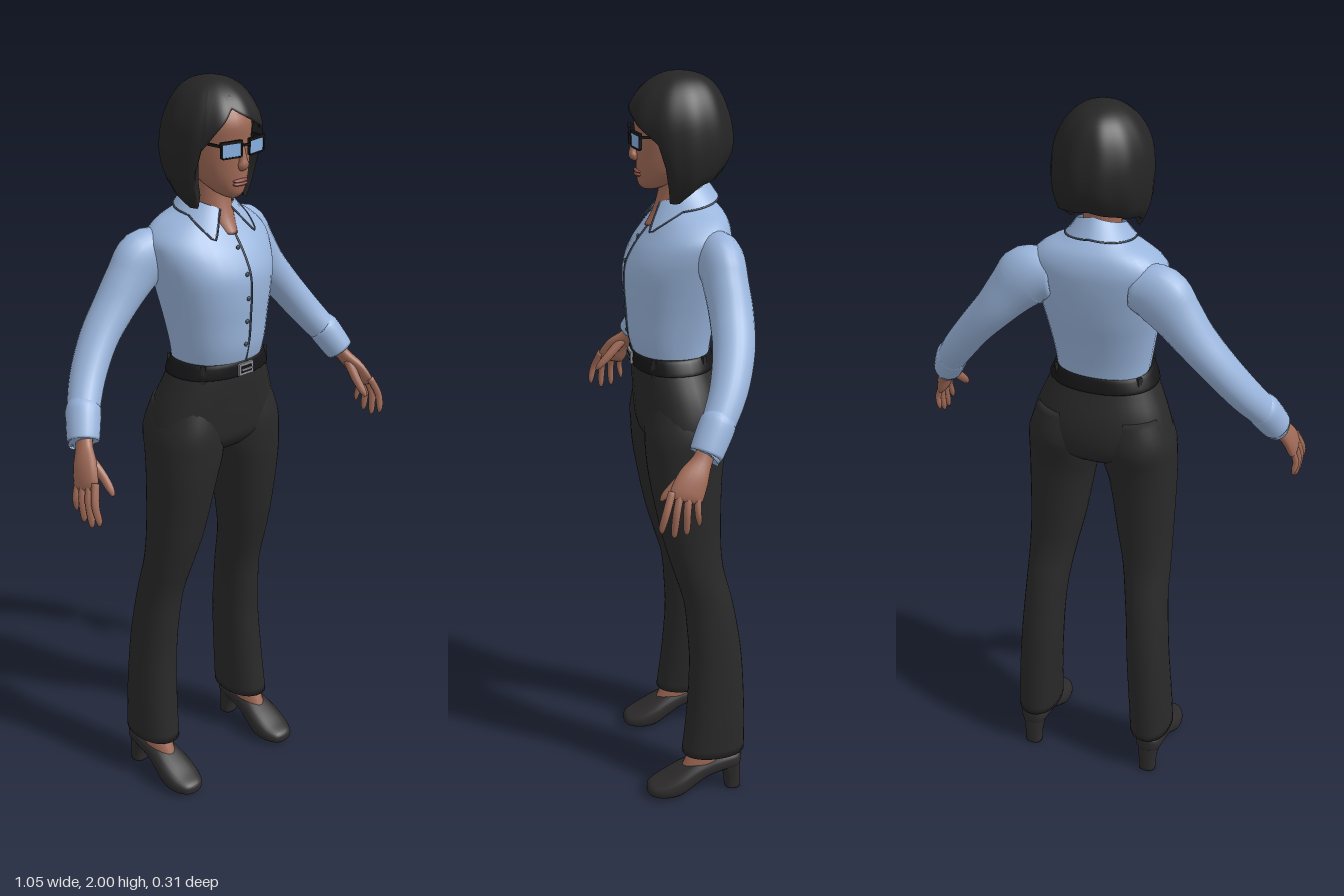
import * as THREE from 'three';
import { mergeVertices } from 'three/addons/utils/BufferGeometryUtils.js';

const mat = (name, color, side = THREE.FrontSide) => {
  const m = new THREE.MeshStandardMaterial({ color, side });
  m.name = name;
  return m;
};

// Catmull-Rom resampling of rows of numbers
function smooth(rows, k = 4) {
  const out = [], last = rows.length - 1;
  const get = i => rows[Math.min(last, Math.max(0, i))];
  for (let i = 0; i < last; i++) for (let s = 0; s < k; s++) {
    const t = s / k, [a, b, c, d] = [get(i - 1), get(i), get(i + 1), get(i + 2)];
    out.push(b.map((_, j) => 0.5 * (2 * b[j] + (c[j] - a[j]) * t + (2 * a[j] - 5 * b[j] + 4 * c[j] - d[j]) * t * t
      + (3 * b[j] - a[j] - 3 * c[j] + d[j]) * t * t * t)));
  }
  out.push(rows[last]);
  return out;
}

// linear lookup in rows sorted by their first column
function at(rows, key) {
  let i = 0;
  while (i < rows.length - 2 && key > rows[i + 1][0]) i++;
  const a = rows[i], b = rows[i + 1], t = Math.min(1, Math.max(0, (key - a[0]) / (b[0] - a[0])));
  return a.map((v, j) => v + (b[j] - v) * t);
}

// skin over rings of points; closed rings get end caps and are turned outward
function skin(rings, closed = true) {
  const n = rings[0].length, pos = rings.flat(2), idx = [], m = closed ? n : n - 1;
  for (let i = 0; i < rings.length - 1; i++) for (let j = 0; j < m; j++) {
    const a = i * n + j, b = i * n + (j + 1) % n;
    idx.push(a, a + n, b, b, a + n, b + n);
  }
  if (closed) [0, rings.length - 1].forEach(r => {
    const c = [0, 1, 2].map(k => rings[r].reduce((s, p) => s + p[k], 0) / n), ci = pos.length / 3;
    pos.push(...c);
    for (let j = 0; j < n; j++) {
      const a = r * n + j, b = r * n + (j + 1) % n;
      r ? idx.push(a, ci, b) : idx.push(b, ci, a);
    }
  });
  let volume = 0;
  const P = i => new THREE.Vector3(pos[3 * i], pos[3 * i + 1], pos[3 * i + 2]);
  for (let i = 0; i < idx.length; i += 3) volume += P(idx[i]).dot(P(idx[i + 1]).cross(P(idx[i + 2])));
  if (volume < 0) idx.reverse();
  const g = new THREE.BufferGeometry();
  g.setAttribute('position', new THREE.Float32BufferAttribute(pos, 3));
  g.setIndex(idx);
  g.computeVertexNormals();
  return g;
}

const angles = n => Array.from({ length: n }, (_, j) => j / n * Math.PI * 2);
const spow = (v, p) => Math.sign(v) * Math.abs(v) ** p;

// upright body: rows are [y, centre x, half width, front z, back z]; w places the widest depth
const upright = (rows, p = 1, w = 0.5, n = 32) => skin(smooth(rows).map(([y, cx, hw, zf, zb]) => {
  const zm = zb + (zf - zb) * w;
  return angles(n).map(a => {
    const s = spow(Math.sin(a), p);
    return [cx + hw * spow(Math.cos(a), p), y, zm + s * (s > 0 ? zf - zm : zm - zb)];
  });
}));

// limb: rows are [x, y, z, radius along the wide axis, radius across]
function limb(rows, wide = [0, 0, 1], n = 16) {
  const s = smooth(rows), V = r => new THREE.Vector3(r[0], r[1], r[2]);
  return skin(s.map((r, i) => {
    const t = V(s[Math.min(i + 1, s.length - 1)]).sub(V(s[Math.max(i - 1, 0)])).normalize();
    const u = new THREE.Vector3(...wide);
    u.addScaledVector(t, -u.dot(t)).normalize();
    const v = t.clone().cross(u);
    return angles(n).map(a => V(r).addScaledVector(u, r[3] * Math.cos(a)).addScaledVector(v, r[4] * Math.sin(a)).toArray());
  }));
}

function mirrored(geo) {
  const g = geo.index ? geo.clone() : mergeVertices(geo);
  g.scale(-1, 1, 1);
  g.setIndex(Array.from(g.index.array).reverse());
  return g;
}

export function createModel() {
  const root = new THREE.Group();
  root.name = 'woman';
  const shirt = mat('shirt blue', 0x9ab5dc, THREE.DoubleSide), trousers = mat('trouser black', 0x292929);
  const hairM = mat('hair black', 0x252525, THREE.DoubleSide), skinM = mat('skin brown', 0xa06a57);
  const shoeM = mat('shoe black', 0x2d2b2b), seam = mat('seam navy', 0x3b4759), lens = mat('lens blue', 0x86aee0);
  const black = mat('belt and frame black', 0x161618), steel = mat('buckle grey', 0x8a8d92), lip = mat('lip rose', 0x8c4f48);
  const add = (name, geo, m) => {
    const mesh = new THREE.Mesh(geo, m);
    mesh.name = name;
    root.add(mesh);
  };
  const pair = (name, geo, m) => { add(name + 'Left', geo, m); add(name + 'Right', mirrored(geo), m); };
  const box = (w, h, d, x, y, z, ry = 0) => new THREE.BoxGeometry(w, h, d).rotateY(ry).translate(x, y, z);
  const tube = (pts, r) => new THREE.TubeGeometry(new THREE.CatmullRomCurve3(pts.map(p => new THREE.Vector3(...p))), 48, r, 6);

  // shirt body
  const torso = [[1.275, 0, 0.12, 0.116, -0.078], [1.33, 0, 0.128, 0.131, -0.085], [1.4, 0, 0.14, 0.136, -0.1],
    [1.46, 0, 0.152, 0.14, -0.115], [1.52, 0, 0.165, 0.137, -0.125], [1.57, 0, 0.175, 0.114, -0.13],
    [1.61, 0, 0.172, 0.084, -0.13], [1.645, 0, 0.135, 0.058, -0.12], [1.67, 0, 0.085, 0.043, -0.1], [1.69, 0, 0.058, 0.03, -0.075]];
  add('shirtBody', upright(torso, 0.88, 0.42), shirt);
  const front = smooth(torso);
  add('placketSeam', tube([1.63, 1.58, 1.53, 1.48, 1.42, 1.36, 1.29].map(y => [0.006, y, at(front, y)[3]]), 0.003), seam);
  for (let i = 0; i < 5; i++) {
    const y = 1.59 - i * 0.062;
    add('button', new THREE.SphereGeometry(0.006, 10, 8).scale(1, 1, 0.6).translate(-0.006, y, at(front, y)[3] + 0.001), seam);
  }

  // collar wrapped round the neck, ending in two points
  const upper = [], lower = [];
  for (let i = 0; i <= 40; i++) {
    const t = i / 20 - 1, e = Math.abs(t), k = Math.max(0, (e - 0.7) / 0.3), a = t * 2.85, b = t * 2.6;
    upper.push([0.06 * Math.sin(a), 1.737 - 0.055 * e, -0.012 - 0.062 * Math.cos(a)]);
    lower.push([0.088 * Math.sin(b) + Math.sign(t) * 0.024 * k, 1.69 - 0.03 * e - 0.045 * k, -0.018 - 0.087 * Math.cos(b) + 0.029 * k]);
  }
  add('collar', skin([upper, lower], false), shirt);
  add('collarSeam', tube([upper[0], ...lower, upper[40]], 0.0025), seam);

  // sleeves and cuffs
  pair('sleeve', limb([[0.11, 1.565, -0.065, 0.055, 0.06], [0.17, 1.555, -0.073, 0.058, 0.078], [0.215, 1.51, -0.076, 0.056, 0.066],
    [0.265, 1.45, -0.077, 0.055, 0.054], [0.325, 1.38, -0.068, 0.052, 0.047], [0.385, 1.3, -0.04, 0.047, 0.044],
    [0.435, 1.228, 0.002, 0.041, 0.04]], [0, 0, 1], 24), shirt);
  pair('cuff', limb([[0.424, 1.247, -0.008, 0.039, 0.039], [0.43, 1.238, -0.002, 0.045, 0.044],
    [0.458, 1.182, 0.03, 0.042, 0.04], [0.46, 1.178, 0.032, 0.037, 0.035]], [0, 0, 1], 24), shirt);

  // hands
  pair('palm', limb([[0.448, 1.2, 0.022, 0.024, 0.02], [0.465, 1.165, 0.042, 0.025, 0.018], [0.485, 1.13, 0.068, 0.038, 0.018],
    [0.498, 1.095, 0.087, 0.042, 0.016], [0.502, 1.08, 0.093, 0.036, 0.01]]), skinM);
  for (let i = 0; i < 4; i++) {
    const z = 0.122 - i * 0.021, r = i === 3 ? 0.0085 : 0.01, y = [1.005, 0.99, 0.995, 1.015][i], tz = 0.15 - i * 0.03;
    pair('finger' + (i + 1), limb([[0.496, 1.105, z, r, r], [0.513, 1.058, (z + tz) / 2 + 0.004, r, r],
      [0.511, y + 0.015, tz, r * 0.85, r * 0.85], [0.509, y, tz, r * 0.3, r * 0.3]], [0, 0, 1], 8), skinM);
  }
  pair('thumb', limb([[0.468, 1.15, 0.06, 0.014, 0.013], [0.459, 1.11, 0.1, 0.013, 0.012], [0.457, 1.08, 0.13, 0.01, 0.01],
    [0.458, 1.066, 0.142, 0.004, 0.004]], [0, 0, 1], 10), skinM);

  // trousers
  add('trouserSeat', upright([[1.29, 0, 0.124, 0.117, -0.077], [1.24, 0, 0.148, 0.119, -0.093], [1.18, 0, 0.174, 0.116, -0.112],
    [1.12, 0, 0.192, 0.112, -0.12], [1.07, 0, 0.192, 0.104, -0.112], [1.035, 0, 0.14, 0.075, -0.08]], 0.9), trousers);
  pair('trouserLeg', upright([[1.18, 0.088, 0.08, 0.09, -0.1], [1.1, 0.1, 0.098, 0.107, -0.118], [1.03, 0.104, 0.1, 0.106, -0.104],
    [0.95, 0.115, 0.09, 0.098, -0.094], [0.8, 0.127, 0.077, 0.07, -0.09], [0.7, 0.138, 0.067, 0.043, -0.096],
    [0.6, 0.147, 0.06, 0.014, -0.12], [0.5, 0.155, 0.058, 0.004, -0.138], [0.4, 0.161, 0.059, 0, -0.149],
    [0.25, 0.17, 0.06, 0.01, -0.155], [0.13, 0.175, 0.06, 0.024, -0.155]], 0.92), trousers);

  // belt, loops and buckle
  add('belt', upright([[1.255, 0, 0.14, 0.12, -0.088], [1.257, 0, 0.146, 0.125, -0.094], [1.29, 0, 0.131, 0.124, -0.085],
    [1.292, 0, 0.122, 0.116, -0.078]], 0.9), black);
  for (const a of [0.9, 2.2]) pair('beltLoop', box(0.012, 0.05, 0.008, 0.14 * Math.sin(a), 1.27, 0.018 + 0.108 * Math.cos(a), a), trousers);
  add('buckle', box(0.05, 0.032, 0.008, 0, 1.273, 0.126), steel);
  add('buckleCentre', box(0.036, 0.018, 0.004, 0, 1.273, 0.1295), black);
  add('bucklePin', box(0.036, 0.005, 0.003, 0, 1.273, 0.132), steel);

  // feet and heeled shoes: rows are [z, half width, top y, bottom y]
  pair('foot', upright([[0.075, 0.18, 0.034, 0.03, -0.1], [0.105, 0.18, 0.035, 0.016, -0.105], [0.13, 0.179, 0.034, 0.004, -0.1],
    [0.17, 0.177, 0.032, -0.01, -0.1]]), skinM);
  const shoe = smooth([[0.127, 0.01, 0.028, 0.014], [0.118, 0.032, 0.04, 0.006], [0.085, 0.049, 0.055, 0], [0.04, 0.053, 0.08, 0.002],
    [0, 0.047, 0.1, 0.024], [-0.04, 0.042, 0.112, 0.05], [-0.09, 0.041, 0.125, 0.066], [-0.13, 0.034, 0.13, 0.07], [-0.145, 0.014, 0.124, 0.084]]);
  pair('shoe', skin(shoe.map(([z, hw, top, bot]) => angles(24).map(a =>
    [0.181 + hw * spow(Math.cos(a), 0.8), (top + bot) / 2 + (top - bot) / 2 * spow(Math.sin(a), 0.8), z]))), shoeM);
  pair('heel', upright([[0, 0.181, 0.025, -0.1, -0.145], [0.04, 0.181, 0.026, -0.095, -0.145], [0.09, 0.181, 0.034, -0.07, -0.143]], 0.8), shoeM);

  // neck and head
  add('neck', upright([[1.62, 0, 0.03, 0.085, -0.03], [1.66, 0, 0.045, 0.062, -0.05], [1.72, 0, 0.047, 0.046, -0.06],
    [1.79, 0, 0.05, 0.045, -0.065]]), skinM);
  add('head', upright([[1.714, 0, 0.016, 0.088, 0.045], [1.728, 0, 0.036, 0.1, 0.01], [1.76, 0, 0.06, 0.104, -0.045],
    [1.8, 0, 0.074, 0.105, -0.08], [1.85, 0, 0.08, 0.106, -0.09], [1.9, 0, 0.08, 0.108, -0.09], [1.95, 0, 0.06, 0.08, -0.07]]), skinM);
  add('nose', limb([[0, 1.85, 0.102, 0.008, 0.008], [0, 1.815, 0.11, 0.01, 0.01], [0, 1.798, 0.112, 0.016, 0.011],
    [0, 1.787, 0.104, 0.008, 0.006]], [1, 0, 0], 12), skinM);
  for (const y of [1.759, 1.751]) add('lip', new THREE.SphereGeometry(1, 16, 10).scale(0.024, 0.0055, 0.009).translate(0, y, 0.101), lip);

  // glasses
  pair('lens', box(0.052, 0.034, 0.004, 0.041, 1.841, 0.112, 0.18), lens);
  pair('frameTop', box(0.062, 0.007, 0.008, 0.042, 1.86, 0.112, 0.18), black);
  pair('frameBottom', box(0.05, 0.004, 0.007, 0.041, 1.823, 0.112, 0.18), black);
  for (const x of [0.013, 0.069]) pair('frameSide', box(0.004, 0.036, 0.007, x, 1.842, 0.117 - (x - 0.013) * 0.18, 0.18), black);
  add('frameBridge', box(0.026, 0.005, 0.006, 0, 1.85, 0.119), black);
  pair('frameArm', box(0.004, 0.007, 0.12, 0.079, 1.855, 0.05, -0.08), black);

  // bob haircut: profile by depth below the crown, hem height by angle from the front
  const profile = [[0, 0, 0, 0], [0.22, 0.056, 0.056, 0.07], [0.4, 0.092, 0.1, 0.106], [0.568, 0.116, 0.126, 0.128],
    [0.696, 0.124, 0.122, 0.139], [0.803, 0.125, 0.1, 0.136], [0.898, 0.118, 0.085, 0.108], [1, 0.092, 0.08, 0.08]];
  const hem = [[-180, 1.765], [-110, 1.735], [-80, 1.69], [-62, 1.69], [-54, 1.84], [-40, 1.885], [-19, 1.937],
    [0, 1.915], [25, 1.888], [42, 1.862], [54, 1.84], [62, 1.69], [80, 1.69], [110, 1.735], [180, 1.765]];
  const curve = smooth(profile), N = 120, rings = [];
  const strand = (j, v, inset, lift) => {
    const deg = j / N * 360 - 180, a = deg * Math.PI / 180, end = Math.sqrt((2 - at(hem, deg)[1]) / 0.31);
    const s = v * end, [, hw, zf, zb] = at(curve, s), c = Math.cos(a), k = inset * (1 + 0.014 * v * Math.cos(11 * a));
    return [hw * Math.sin(a) * k, 2 - 0.31 * s * s + lift, (c > 0 ? zf : zb) * c * k];
  };
  for (let i = 0; i <= 20; i++) rings.push([i / 20, 1, 0]);
  rings.push([1, 0.93, 0.004], [1, 0.82, 0.03]);
  const hair = skin(rings.map(([v, k, lift]) => Array.from({ length: N }, (_, j) => strand(j, v, k, lift))));
  // drop the closing cap so the hair stays a hollow shell
  const kept = [], ids = hair.index.array, limit = rings.length * N;
  for (let i = 0; i < ids.length; i += 3) if (Math.max(ids[i], ids[i + 1], ids[i + 2]) < limit) kept.push(ids[i], ids[i + 1], ids[i + 2]);
  hair.setIndex(kept);
  hair.computeVertexNormals();
  add('hair', hair, hairM);
  return root;
}
